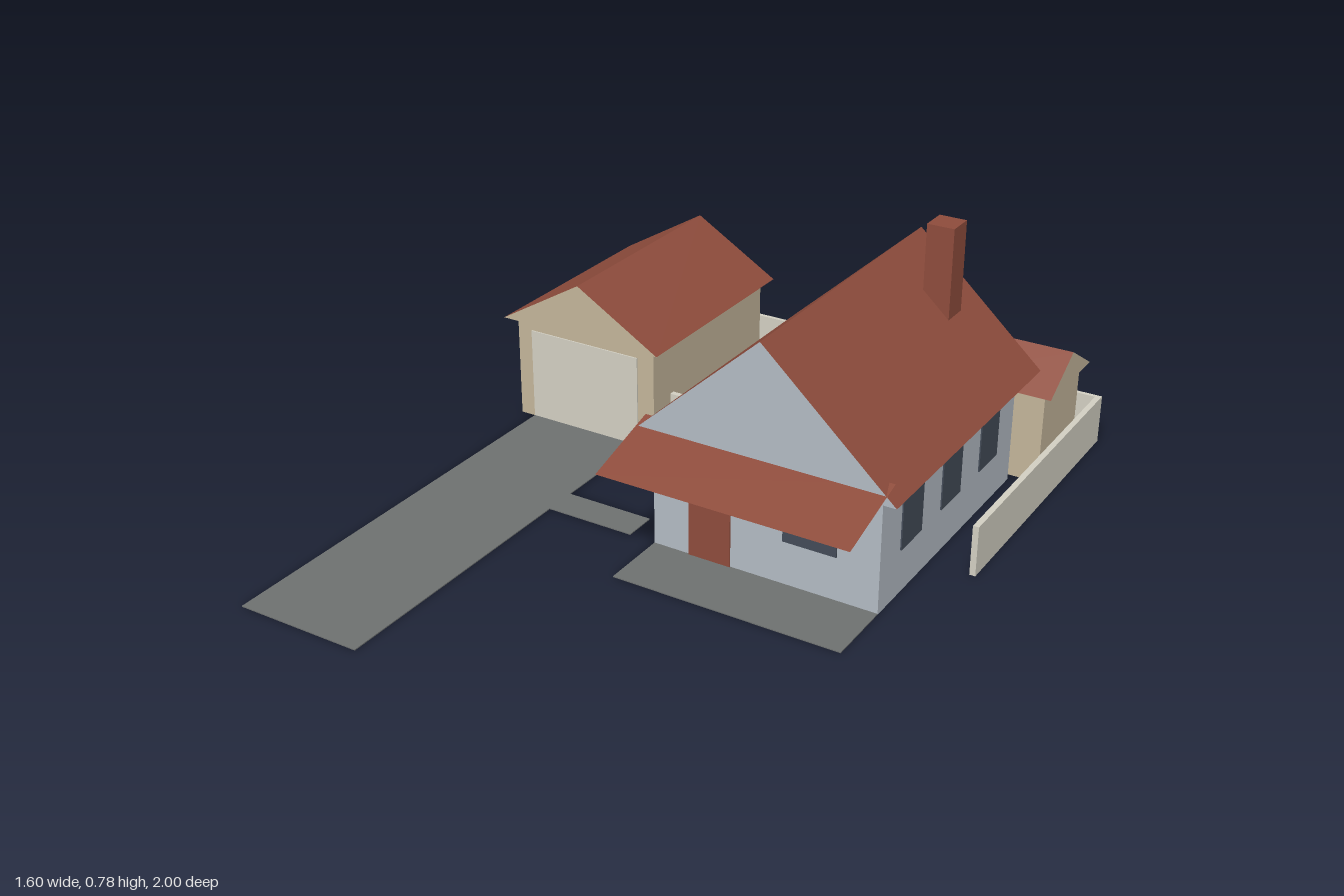
import * as THREE from 'three';

const mat = (name, color) => {
  const m = new THREE.MeshStandardMaterial({ color, side: THREE.DoubleSide });
  m.name = name;
  return m;
};

export function createModel() {
  const wallGrey = mat('wall grey', 0xb3bbc3);
  const roofRed = mat('roof red', 0x8e4c3c);
  const beige = mat('beige', 0xc3b59a);
  const stone = mat('pale stone', 0xd2cfc2);
  const asphalt = mat('asphalt', 0x6e7170);
  const glass = mat('dark glass', 0x434b57);

  const root = new THREE.Group();
  root.name = 'homestead';
  const group = (name) => {
    const g = new THREE.Group();
    g.name = name;
    root.add(g);
    return g;
  };
  const add = (parent, name, geometry, material) => {
    const m = new THREE.Mesh(geometry, material);
    m.name = name;
    parent.add(m);
    return m;
  };

  // Box given by its minimum and maximum on each axis
  const boxGeo = (x0, x1, y0, y1, z0, z1) =>
    new THREE.BoxGeometry(x1 - x0, y1 - y0, z1 - z0)
      .translate((x0 + x1) / 2, (y0 + y1) / 2, (z0 + z1) / 2);
  const box = (parent, name, material, ...b) => add(parent, name, boxGeo(...b), material);

  // Four walls without floor or ceiling
  const walls = (parent, material, x0, x1, h, z0, z1) => {
    const g = boxGeo(x0, x1, 0, h, z0, z1);
    const index = Array.from(g.index.array);
    g.setIndex([...index.slice(0, 12), ...index.slice(24, 36)]);
    g.clearGroups();
    add(parent, 'walls', g, material);
  };

  // Gabled roof prism centred on its own axis: gable ends in the wall colour
  const gableRoof = (parent, material, width, length, y0, y1, x, z, turn = 0) => {
    const s = new THREE.Shape();
    s.moveTo(-width / 2, 0);
    s.lineTo(width / 2, 0);
    s.lineTo(0, y1 - y0);
    s.closePath();
    const g = new THREE.ExtrudeGeometry(s, { depth: length, bevelEnabled: false });
    g.translate(0, 0, -length / 2).rotateY(turn).translate(x, y0, z);
    add(parent, 'gableRoof', g, [material, roofRed]);
  };

  const T = 0.004; // half thickness of painted plates

  // House
  const house = group('house');
  walls(house, wallGrey, 0, 0.665, 0.34, -0.64, 0.19);
  gableRoof(house, wallGrey, 0.77, 0.91, 0.34, 0.69, 0.335, -0.225);
  box(house, 'chimney', roofRed, 0.44, 0.52, 0.4, 0.785, -0.56, -0.48);
  box(house, 'frontDoor', roofRed, 0.11, 0.235, 0, 0.275, 0.19 - T, 0.19 + T);
  box(house, 'frontWindow', glass, 0.39, 0.545, 0.13, 0.285, 0.19 - T, 0.19 + T);
  box(house, 'backDoor', glass, 0.13, 0.25, 0, 0.275, -0.64 - T, -0.64 + T);
  box(house, 'backWindow', glass, 0.41, 0.55, 0.13, 0.285, -0.64 - T, -0.64 + T);
  for (const x of [0, 0.665])
    for (const z of [0.015, -0.225, -0.47])
      box(house, 'sideWindow', glass, x - T, x + T, 0.13, 0.29, z - 0.06, z + 0.06);

  // Porch: a single sloping sheet over a paved terrace
  const rise = 0.07, run = 0.235;
  const sheet = new THREE.PlaneGeometry(0.72, Math.hypot(rise, run))
    .rotateX(-Math.PI / 2 + Math.atan2(rise, run))
    .translate(0.333, 0.345, 0.3025);
  add(house, 'porchRoof', sheet, roofRed);

  // Garage
  const garage = group('garage');
  walls(garage, beige, -0.77, -0.29, 0.32, -0.88, -0.26);
  gableRoof(garage, beige, 0.54, 0.68, 0.32, 0.48, -0.53, -0.57);
  box(garage, 'garageDoor', stone, -0.72, -0.345, 0, 0.285, -0.26 - T, -0.26 + T);

  // Garden shed with its ridge running sideways
  const shed = group('shed');
  walls(shed, beige, 0.46, 0.745, 0.27, -0.935, -0.667);
  gableRoof(shed, beige, 0.3, 0.335, 0.27, 0.36, 0.6, -0.803, Math.PI / 2);

  // Garden walls
  const fence = group('gardenWalls');
  box(fence, 'backFence', stone, -0.8, 0.8, 0, 0.147, -1, -0.987);
  box(fence, 'rightFence', stone, 0.783, 0.8, 0, 0.147, -0.987, -0.107);
  box(fence, 'middleFence', stone, -0.29, -0.025, 0, 0.147, -0.367, -0.35);

  // Paving
  const paving = group('paving');
  box(paving, 'driveway', asphalt, -0.72, -0.347, 0, 0.003, -0.26, 1);
  box(paving, 'path', asphalt, -0.347, -0.08, 0, 0.003, 0.09, 0.187);
  box(paving, 'terrace', asphalt, 0, 0.665, 0, 0.003, 0.19, 0.39);

  return root;
}
